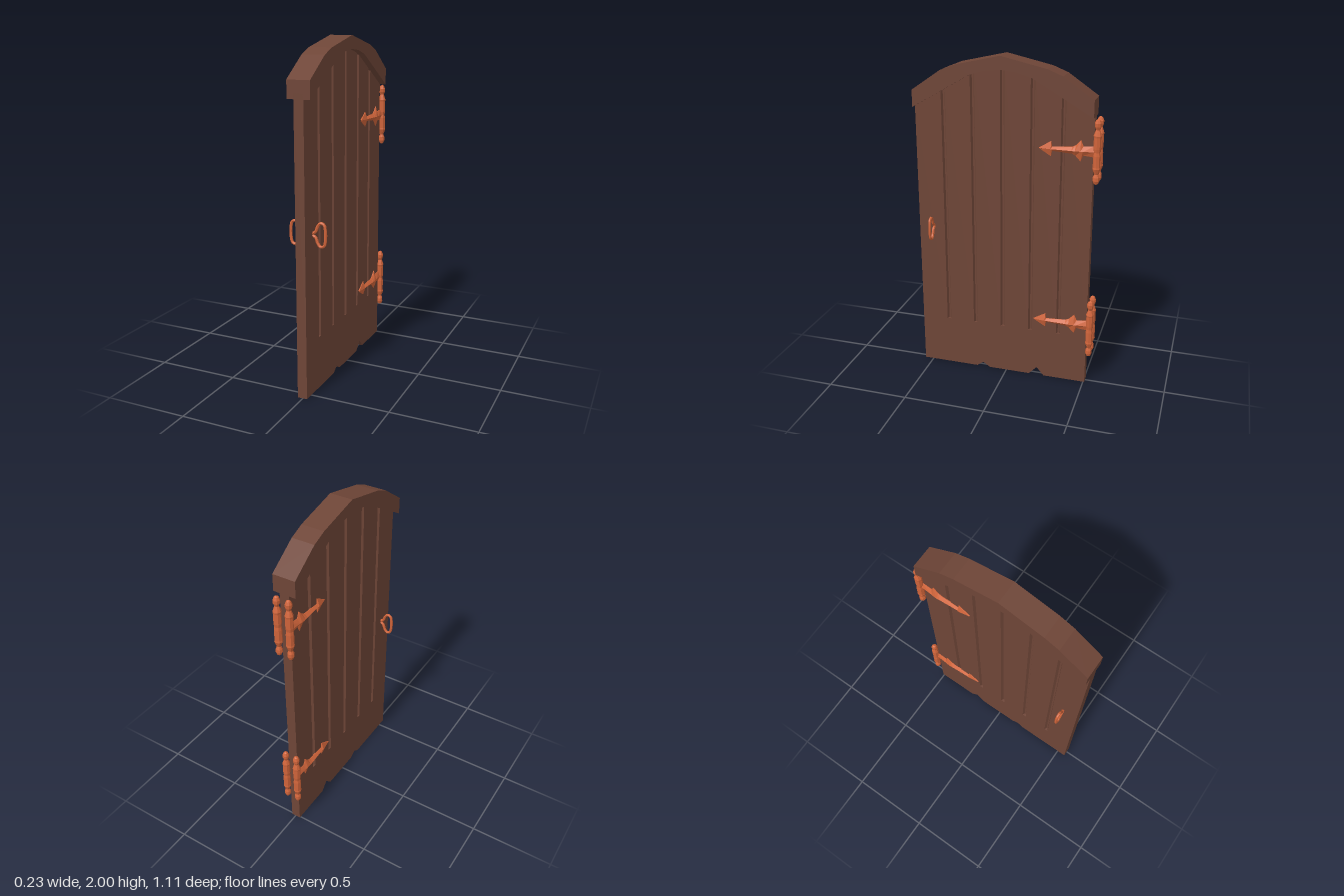
import * as THREE from 'three';

const CX = -0.0025;                 // middle of the door thickness
const HALF = 0.029;                 // half thickness of the planks
const Z0 = -0.508, Z1 = 0.555, ZC = 0.0235;
const GROOVES = [-2, -1, 0, 1, 2].map(i => ZC + i * 0.178);

// Half of the arch as [distance from middle, height]
const OUTER = [[0, 2], [0.268, 1.94], [0.356, 1.905], [0.5315, 1.785]];
const INNER = [[0, 1.923], [0.09, 1.914], [0.18, 1.888], [0.356, 1.787], [0.5315, 1.685]];

const fullArch = half => [
  ...half.slice(1).reverse().map(([d, y]) => [ZC - d, y]),
  ...half.map(([d, y]) => [ZC + d, y]),
];

const toShape = pts => new THREE.Shape(pts.map(p => new THREE.Vector2(p[0], p[1])));

// Extrudes a (z, y) outline across the door thickness
function sideExtrude(pts, width) {
  const g = new THREE.ExtrudeGeometry(toShape(pts), { depth: width, bevelEnabled: false });
  g.translate(0, 0, -width / 2);
  g.rotateY(-Math.PI / 2);
  g.translate(CX, 0, 0);
  return g;
}

// Height of the plank tops, hidden inside the arch
function plankTop(z) {
  const d = Math.abs(z - ZC);
  for (let i = 1; i < INNER.length; i++) {
    const [a, ya] = INNER[i - 1], [b, yb] = INNER[i];
    if (d <= b + 1e-4) return ya + (yb - ya) * (d - a) / (b - a) + 0.03;
  }
  return INNER[INNER.length - 1][1] + 0.03;
}

// Grooved cross-section raised up to the curve of the arch
function plankGeometry(y0) {
  const face = [[HALF, Z0]];
  for (const z of GROOVES) {
    face.push([HALF, z - 0.013], [HALF - 0.014, z - 0.005], [HALF - 0.014, z + 0.005], [HALF, z + 0.013]);
  }
  face.push([HALF, Z1]);
  const section = [...face, ...face.slice().reverse().map(([x, z]) => [-x, z])];
  const g = new THREE.ExtrudeGeometry(toShape(section.map(([x, z]) => [x, -z])), { depth: 1, bevelEnabled: false });
  g.rotateX(-Math.PI / 2);
  const p = g.attributes.position;
  for (let i = 0; i < p.count; i++) {
    p.setY(i, p.getY(i) > 0.5 ? plankTop(p.getZ(i)) : y0);
  }
  g.translate(CX, 0, 0);
  g.computeVertexNormals();
  return g;
}

// Ridged arrow strap: [distance from hinge, half height, ridge height]
const STRAP = [
  [0, 0.032, 0.012], [0.06, 0.026, 0.016], [0.075, 0.062, 0.018], [0.105, 0.03, 0.02],
  [0.125, 0.02, 0.018], [0.24, 0.012, 0.012], [0.245, 0.045, 0.014], [0.315, 0.002, 0.004],
];

function strapGeometry(side, stretch) {
  const pos = [], idx = [];
  for (const [d, h, r] of STRAP) {
    const z = -0.51 + d * stretch, x = HALF - 0.002;
    pos.push(side * x, -h, z, side * (x + 0.005), -h, z, side * (x + 0.005 + r), 0, z,
      side * (x + 0.005), h, z, side * x, h, z);
  }
  const tri = (a, b, c) => idx.push(...(side > 0 ? [a, b, c] : [a, c, b]));
  for (let i = 0; i < STRAP.length - 1; i++) {
    for (let j = 0; j < 4; j++) {
      const a = i * 5 + j, b = a + 1, c = a + 5, d = a + 6;
      tri(a, b, c);
      tri(b, d, c);
    }
  }
  const g = new THREE.BufferGeometry();
  g.setAttribute('position', new THREE.Float32BufferAttribute(pos, 3));
  g.setIndex(idx);
  g.computeVertexNormals();
  return g;
}

export function createModel() {
  const wood = new THREE.MeshStandardMaterial({ color: 0x6e4537, flatShading: true });
  wood.name = 'brown wood';
  const copper = new THREE.MeshStandardMaterial({ color: 0xd0643a, flatShading: true, side: THREE.DoubleSide });
  copper.name = 'copper metal';

  const door = new THREE.Group();
  door.name = 'archedDoor';
  const add = (parent, name, geometry, material) => {
    const m = new THREE.Mesh(geometry, material);
    m.name = name;
    parent.add(m);
    return m;
  };

  // Planks, and the worn bottom edge with two chips
  const seam = 0.315;
  add(door, 'planks', plankGeometry(seam), wood);
  add(door, 'doorBottom', sideExtrude([
    [Z0, 0], [-0.245, 0], [-0.2, 0.053], [-0.15, 0], [0.11, 0], [0.155, 0.03], [0.195, 0],
    [Z1, 0], [Z1, seam], [Z0, seam],
  ], HALF * 2), wood);

  // Arched top rail
  add(door, 'archRail', sideExtrude([...fullArch(INNER), ...fullArch(OUTER).reverse()], 0.137), wood);

  // Hinge barrel with a finial at each end
  const half = [[0.019, 0], [0.022, 0.02], [0.022, 0.085], [0.024, 0.095], [0.017, 0.115], [0.012, 0.128],
    [0.019, 0.145], [0.02, 0.165], [0.013, 0.182], [0.0001, 0.19]];
  const barrel = new THREE.LatheGeometry(
    [...half.slice(1).reverse().map(([r, y]) => new THREE.Vector2(r, -y)),
      ...half.map(([r, y]) => new THREE.Vector2(r, y))], 8);

  const handlePath = new THREE.CatmullRomCurve3([
    [0.026, 0.95], [0.045, 0.96], [0.06, 0.995], [0.077, 1.012], [0.097, 1.004], [0.105, 0.975],
    [0.105, 0.915], [0.097, 0.885], [0.077, 0.877], [0.06, 0.894], [0.045, 0.93], [0.026, 0.94],
  ].map(([x, y]) => new THREE.Vector3(x, y, 0)), true);
  const handle = new THREE.TubeGeometry(handlePath, 36, 0.0085, 6, true);

  for (const side of [1, -1]) {
    const label = side > 0 ? 'left' : 'right';
    // Upper and lower hinges
    for (const [level, barrelY, strapY, stretch] of [['Upper', 1.49, 1.49, 1], ['Lower', 0.383, 0.4, 1.06]]) {
      const hinge = new THREE.Group();
      hinge.name = label + level + 'Hinge';
      add(hinge, 'hingeBarrel', barrel, copper).position.set(CX + side * 0.0375, barrelY, -0.528);
      add(hinge, 'hingeStrap', strapGeometry(side, stretch), copper).position.set(CX, strapY, 0);
      door.add(hinge);
    }
    // Looped pull handle
    const pull = add(door, label + 'Handle', handle, copper);
    pull.position.set(CX, 0, 0.461);
    pull.rotation.y = side > 0 ? 0 : Math.PI;
  }
  return door;
}
